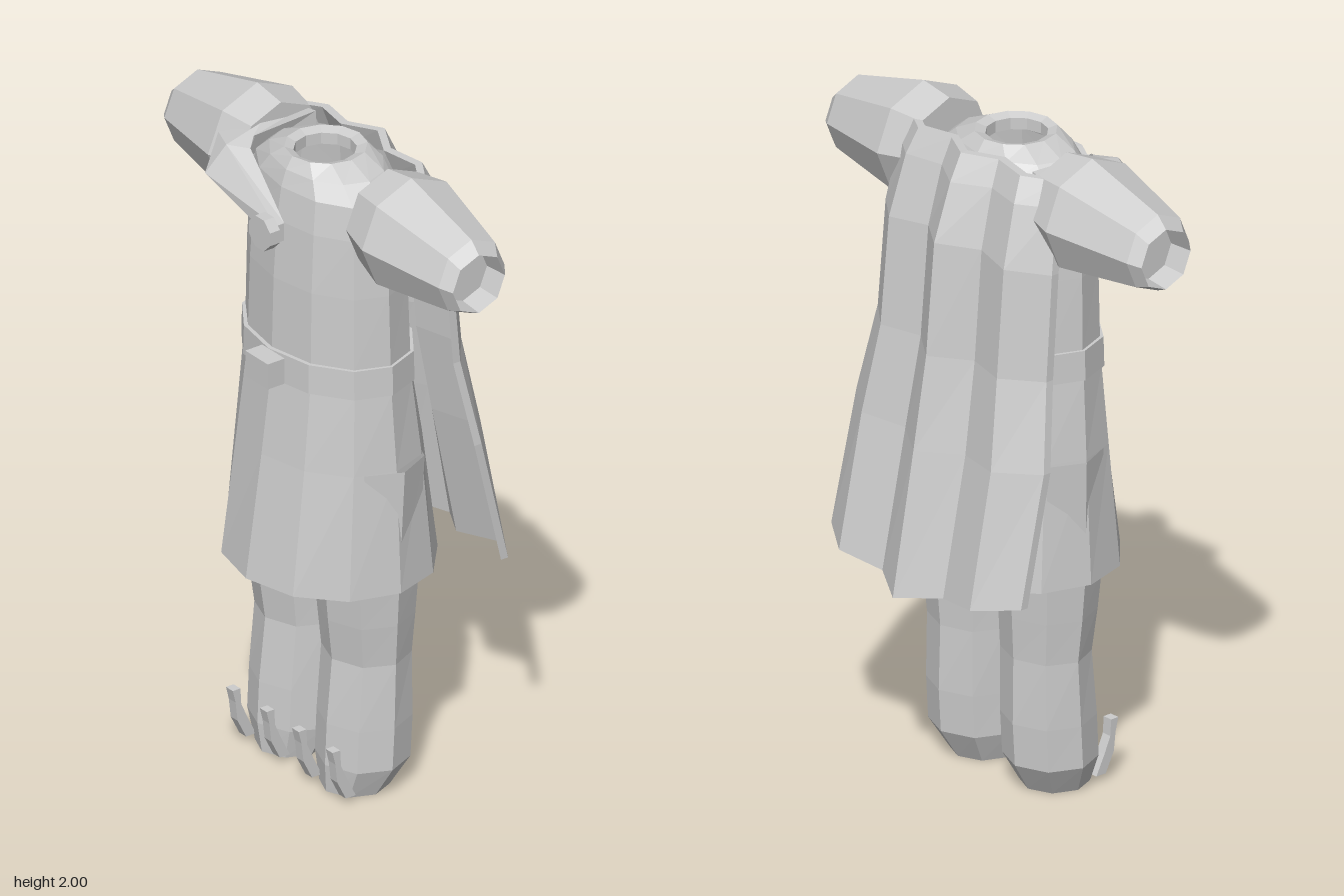
import * as THREE from 'three';

const cloth = new THREE.MeshStandardMaterial({ color: 0xcccccc, side: THREE.DoubleSide });
cloth.name = 'light grey';

// Skin a list of equal-length point loops; ends can be closed with a strip of quads
function loft(name, rings, capStart = false, capEnd = false) {
  const pos = [];
  const n = rings[0].length;
  const quad = (a, b, c, d) => pos.push(...a, ...b, ...c, ...a, ...c, ...d);
  for (let j = 0; j < rings.length - 1; j++) {
    for (let i = 0; i < n; i++) {
      const k = (i + 1) % n;
      quad(rings[j][i], rings[j][k], rings[j + 1][k], rings[j + 1][i]);
    }
  }
  const cap = (r, flip) => {
    for (let i = 0; i < n / 2 - 1; i++) {
      const q = [r[i], r[i + 1], r[n - 2 - i], r[n - 1 - i]];
      quad(...(flip ? q.reverse() : q));
    }
  };
  if (capStart) cap(rings[0], true);
  if (capEnd) cap(rings[rings.length - 1], false);
  const geo = new THREE.BufferGeometry();
  geo.setAttribute('position', new THREE.Float32BufferAttribute(pos, 3));
  geo.computeVertexNormals(); // unshared corners keep every facet flat
  return part(name, geo);
}

function part(name, geo) {
  const mesh = new THREE.Mesh(geo, cloth);
  mesh.name = name;
  return mesh;
}

const loop = (n, fn) => Array.from({ length: n }, (_, i) => fn((i / n) * Math.PI * 2));

// Horizontal ellipse: height, half width, half depth, centre
const flatRing = (n, y, w, d, cx, cz) =>
  loop(n, a => [cx + w * Math.sin(a), y, cz + d * Math.cos(a)]);

export function createModel() {
  const model = new THREE.Group();
  model.name = 'tunicWithCape';

  // Tunic from flared hem up to the folded neck opening
  const tunicRows = [
    [0.67, 0.335, 0.295, 0.075], [1.05, 0.315, 0.24, 0.075], [1.29, 0.298, 0.203, 0.08],
    [1.38, 0.293, 0.198, 0.08], [1.6, 0.288, 0.19, 0.082], [1.78, 0.278, 0.178, 0.082],
    [1.88, 0.262, 0.163, 0.082], [1.93, 0.2, 0.143, 0.085], [1.965, 0.12, 0.118, 0.087],
    [1.955, 0.09, 0.09, 0.09], [1.92, 0.09, 0.09, 0.09],
  ];
  model.add(loft('tunic', tunicRows.map(([y, w, d, c]) => flatRing(12, y, w, d, 0, c))));

  // Belt and buckle
  const beltRows = [[1.29, 0.29, 0.195], [1.29, 0.305, 0.213], [1.38, 0.302, 0.211], [1.38, 0.285, 0.19]];
  model.add(loft('belt', beltRows.map(([y, w, d]) => flatRing(12, y, w, d, 0, 0.08))));
  const buckle = part('buckle', new THREE.BoxGeometry(0.105, 0.08, 0.06));
  buckle.position.set(0.026, 1.34, 0.322);
  model.add(buckle);

  // Claw profile, drawn with z across and y up
  const clawShape = new THREE.Shape([
    [0.17, 0.02], [0.205, 0.02], [0.235, 0.08], [0.242, 0.14], [0.252, 0.18],
    [0.225, 0.18], [0.222, 0.13], [0.2, 0.08],
  ].map(p => new THREE.Vector2(...p)));
  const clawGeo = new THREE.ExtrudeGeometry(clawShape, { depth: 0.032, bevelEnabled: false });
  clawGeo.translate(0, 0, -0.016).rotateY(-Math.PI / 2);

  for (const s of [1, -1]) {
    const side = s > 0 ? 'left' : 'right';

    // Puffed sleeve with a recessed cuff: distance out, centre height, radius
    const sleeveRows = [
      [0.25, 1.835, 0.148], [0.36, 1.825, 0.175], [0.64, 1.805, 0.117],
      [0.675, 1.795, 0.092], [0.6, 1.795, 0.085],
    ];
    model.add(loft(side + 'Sleeve', sleeveRows.map(([x, y, r]) =>
      loop(8, a => [s * x, y + r * Math.cos(a), 0.057 + r * Math.sin(a * s)])), true, true));

    // Leg with rounded foot: height, radii, centre x and z
    const legRows = [
      [0, 0.1, 0.1, 0.15, 0.1], [0.09, 0.14, 0.133, 0.158, 0.077], [0.22, 0.14, 0.134, 0.158, 0.07],
      [0.42, 0.138, 0.122, 0.156, 0.062], [0.55, 0.147, 0.135, 0.16, 0.066],
      [0.67, 0.155, 0.145, 0.162, 0.068], [1.05, 0.165, 0.15, 0.168, 0.06],
    ];
    model.add(loft(side + 'Leg', legRows.map(([y, w, d, cx, cz]) =>
      flatRing(8, y, w, d, s * cx, cz)), true));

    for (const x of [0.075, 0.233]) {
      const claw = part(side + 'Claw', clawGeo);
      claw.position.x = s * x;
      model.add(claw);
    }
  }

  // Pleated cape: height, half width, middle z, edge z, rise of the side edges
  const across = [1, 0.69, 0.32, 0, -0.32, -0.69, -1];
  const fold = [1, 0.35, 0.6, 0, 0.6, 0.35, 1];
  const capeRows = [
    [0.65, 0.405, -0.375, -0.25, 0.06], [1.08, 0.4, -0.298, -0.16, 0.02], [1.36, 0.36, -0.25, -0.115, 0],
    [1.7, 0.355, -0.22, -0.09, -0.02], [1.87, 0.335, -0.16, -0.055, 0], [1.95, 0.315, -0.12, -0.03, -0.01],
  ];
  model.add(loft('cape', capeRows.map(([y, w, zMid, zEdge, rise]) => {
    const layer = dz => across.map((u, i) =>
      [u * w, y + rise * Math.abs(u), zMid + (zEdge - zMid) * fold[i] + dz]);
    return [...layer(0), ...layer(0.025).reverse()];
  }), true, true));

  // Strap over the right shoulder, tapering down to the clasp
  model.add(loft('strap', [
    [[-0.27, 1.88, -0.04], [-0.27, 1.93, -0.04], [-0.215, 1.94, -0.04], [-0.215, 1.89, -0.04]],
    [[-0.34, 1.9, 0.21], [-0.25, 1.94, 0.13], [-0.215, 1.93, 0.18], [-0.24, 1.85, 0.18]],
    [[-0.27, 1.83, 0.31], [-0.25, 1.91, 0.25], [-0.19, 1.91, 0.21], [-0.2, 1.83, 0.22]],
    [[0.06, 1.745, 0.31], [0.06, 1.8, 0.31], [0.06, 1.8, 0.28], [0.06, 1.745, 0.28]],
  ], true, true));
  const clasp = part('clasp', new THREE.CylinderGeometry(0.053, 0.053, 0.035, 8).toNonIndexed());
  clasp.geometry.computeVertexNormals();
  clasp.geometry.rotateY(Math.PI / 8).rotateX(Math.PI / 2);
  clasp.position.set(0.037, 1.78, 0.332);
  model.add(clasp);

  return model;
}
